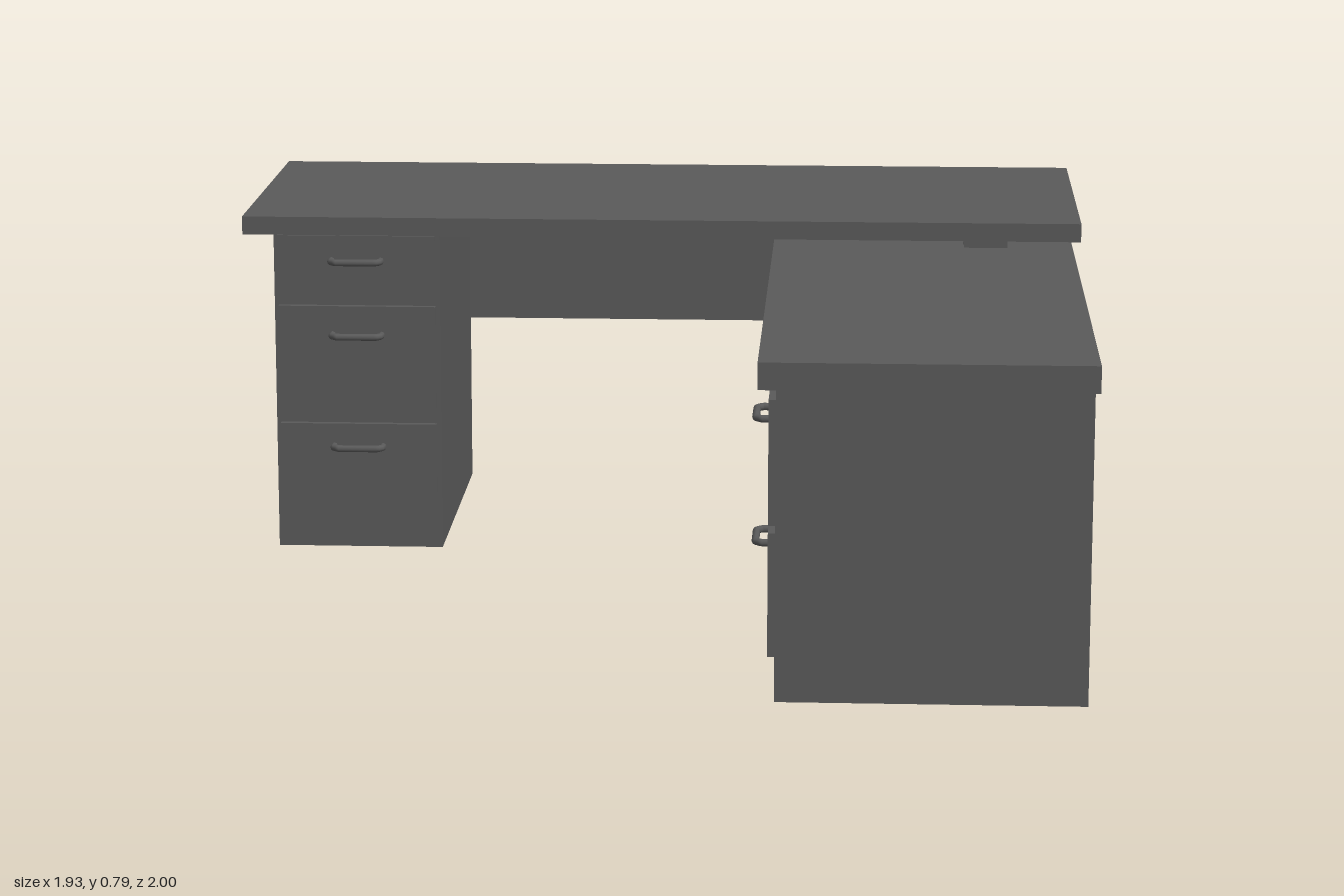
import * as THREE from 'three';

const material = new THREE.MeshStandardMaterial({ color: 0x5a5a5a, side: THREE.DoubleSide });

function addMesh(parent, name, geometry, x = 0, y = 0, z = 0) {
  const mesh = new THREE.Mesh(geometry, material);
  mesh.name = name;
  mesh.position.set(x, y, z);
  parent.add(mesh);
  return mesh;
}

// Box given by its extents; faces left out: 3 = bottom, 4 = front
function boxBetween(parent, name, [x0, x1], [y0, y1], [z0, z1], omit = []) {
  const geometry = new THREE.BoxGeometry(x1 - x0, y1 - y0, z1 - z0);
  const index = Array.from(geometry.index.array);
  geometry.setIndex(index.filter((_, i) => !omit.includes(Math.floor(i / 6))));
  geometry.clearGroups();
  return addMesh(parent, name, geometry, (x0 + x1) / 2, (y0 + y1) / 2, (z0 + z1) / 2);
}

function rectangle(Type, x0, x1, y0, y1) {
  return new Type([[x0, y0], [x1, y0], [x1, y1], [x0, y1]].map(([x, y]) => new THREE.Vector2(x, y)));
}

// Bar pull with chamfered corners, standing out along +z
function handleGeometry() {
  const points = [[-0.057, 0], [-0.057, 0.018], [-0.046, 0.029], [0.046, 0.029], [0.057, 0.018], [0.057, 0]]
    .map(([x, z]) => new THREE.Vector3(x, 0, z));
  const path = new THREE.CurvePath();
  for (let i = 0; i < points.length - 1; i++) path.add(new THREE.LineCurve3(points[i], points[i + 1]));
  return new THREE.TubeGeometry(path, 40, 0.008, 8, false);
}

// Open-bottomed cabinet facing +z, with its front at z = 0
function pedestal(name, width, height, depth, drawers) {
  const group = new THREE.Group();
  group.name = name;
  const half = width / 2;
  boxBetween(group, 'cabinet', [-half, half], [0, height], [-depth, 0], [3, 4]);

  // Front frame with an opening behind each drawer
  const frame = rectangle(THREE.Shape, -half, half, 0, height);
  for (const { bottom, top } of drawers) {
    frame.holes.push(rectangle(THREE.Path, -half + 0.02, half - 0.02, bottom + 0.01, top - 0.01));
  }
  addMesh(group, 'frontFrame', new THREE.ShapeGeometry(frame));

  for (const { bottom, top, handle } of drawers) {
    boxBetween(group, 'drawerFront', [-half + 0.01, half - 0.01], [bottom, top], [-0.005, 0.015]);
    addMesh(group, 'handle', handleGeometry(), 0, handle, 0.015);
  }
  return group;
}

export function createModel() {
  const desk = new THREE.Group();
  desk.name = 'cornerDesk';

  // Two overlapping tops, hollow underneath
  boxBetween(desk, 'mainTop', [-0.965, 0.965], [0.745, 0.787], [-1, -0.215], [3]);
  boxBetween(desk, 'returnTop', [0.26, 0.95], [0.66, 0.717], [-0.93, 1], [3]);

  // Support leg and modesty panel
  boxBetween(desk, 'supportLeg', [0.7, 0.8], [0, 0.745], [-0.965, -0.285], [3]);
  boxBetween(desk, 'modestyPanel', [-0.9, 0.7], [0.403, 0.745], [-0.969, -0.96]);

  // Three-drawer cabinet under the main top
  const mainPedestal = pedestal('mainPedestal', 0.385, 0.745, 0.73, [
    { bottom: 0.587, top: 0.743, handle: 0.685 },
    { bottom: 0.315, top: 0.577, handle: 0.51 },
    { bottom: 0.035, top: 0.298, handle: 0.245 },
  ]);
  mainPedestal.position.set(-0.703, 0, -0.235);
  desk.add(mainPedestal);

  // Two-drawer cabinet under the return, facing inwards
  const returnPedestal = pedestal('returnPedestal', 0.39, 0.66, 0.643, [
    { bottom: 0.37, top: 0.633, handle: 0.565 },
    { bottom: 0.093, top: 0.355, handle: 0.302 },
  ]);
  returnPedestal.rotation.y = -Math.PI / 2;
  returnPedestal.position.set(0.297, 0, 0.785);
  desk.add(returnPedestal);

  return desk;
}
